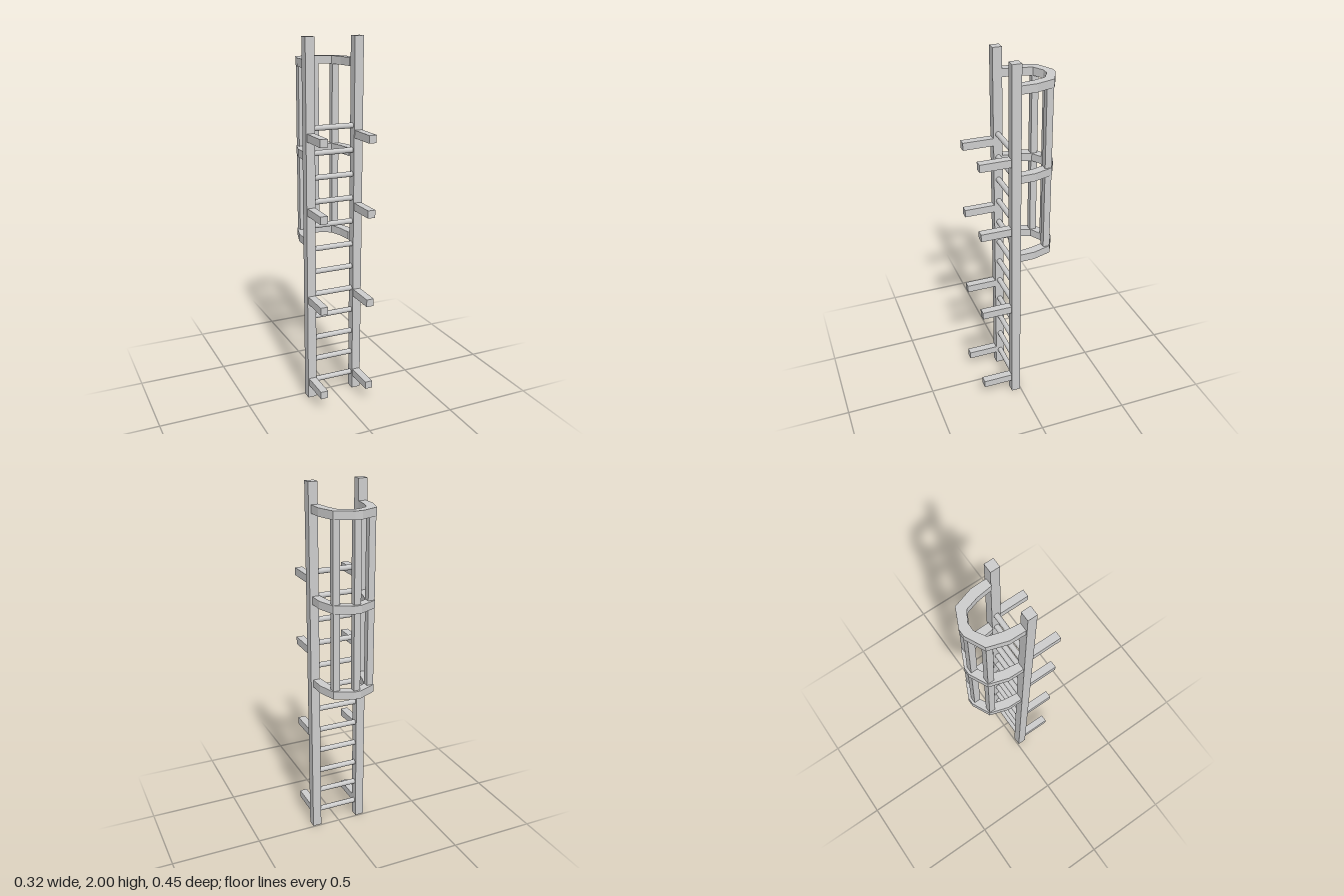
import * as THREE from 'three';

const material = new THREE.MeshStandardMaterial({ color: 0xcccccc });

export function createModel() {
  const model = new THREE.Group();
  model.name = 'cagedLadder';

  const add = (name, geometry, x, y, z) => {
    const mesh = new THREE.Mesh(geometry, material);
    mesh.name = name;
    mesh.position.set(x, y, z);
    model.add(mesh);
    return mesh;
  };

  // Side rails and the wall brackets on their front faces
  const railX = 0.137;
  const railZ = 0.031;
  const rail = new THREE.BoxGeometry(0.05, 2, 0.05);
  const bracket = new THREE.BoxGeometry(0.042, 0.042, 0.168);
  for (const [side, s] of [['left', 1], ['right', -1]]) {
    add(side + 'Rail', rail, s * railX - 0.001, 1, railZ);
    for (const y of [0.098, 0.597, 1.099, 1.496]) {
      add(side + 'WallBracket', bracket, s * 0.136 - 0.001, y, 0.139);
    }
  }

  // Round rungs, evenly spaced between the rails
  const rung = new THREE.CylinderGeometry(0.0147, 0.0147, 0.228, 24).rotateZ(Math.PI / 2);
  for (let i = 0; i < 12; i++) add('rung', rung, -0.001, 0.095 + i * 0.1313, railZ);

  // Safety hoops: faceted arch, given as half-widths and z from rail to crown
  const cageX = -0.0045;
  const outer = [[0.152, 0.006], [0.15, -0.078], [0.1175, -0.181], [0.0195, -0.228]];
  const inner = [[0.109, 0.006], [0.098, -0.078], [0.077, -0.147], [0.0215, -0.179]];
  const arch = (half) => [
    ...half.map(([x, z]) => new THREE.Vector2(x, -z)),
    ...half.slice().reverse().map(([x, z]) => new THREE.Vector2(-x, -z)),
  ];
  const outline = new THREE.Shape([...arch(outer), ...arch(inner).reverse()]);
  const hoopHeight = 0.043;
  const hoop = new THREE.ExtrudeGeometry(outline, { depth: hoopHeight, bevelEnabled: false })
    .rotateX(-Math.PI / 2)
    .translate(0, -hoopHeight / 2, 0);
  const hoopYs = [0.921, 1.393, 1.866];
  for (const y of hoopYs) add('cageHoop', hoop, cageX, y, 0);

  // Upright cage bars at the crown and the two rear corners
  const barHeight = hoopYs[2] - hoopYs[0];
  const barY = (hoopYs[2] + hoopYs[0]) / 2;
  const bar = new THREE.BoxGeometry(0.037, barHeight, 0.036);
  add('centreCageBar', bar, -0.008, barY, -0.196);
  add('leftCageBar', bar, cageX + 0.0975, barY, -0.161);
  add('rightCageBar', bar, cageX - 0.0975, barY, -0.161);

  return model;
}
